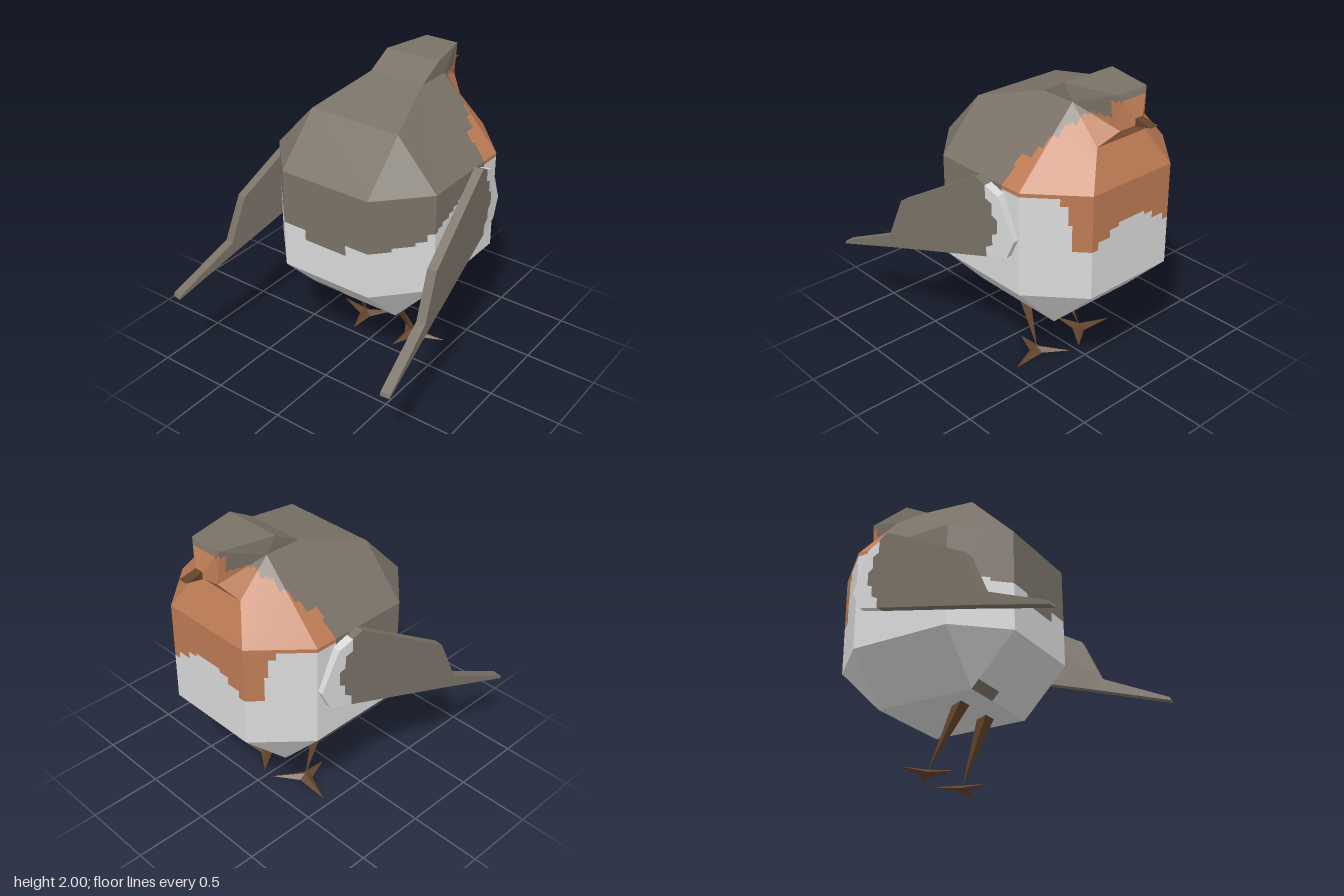
import * as THREE from 'three';

const material = (name, color) => {
  const m = new THREE.MeshStandardMaterial({ color });
  m.name = name;
  return m;
};
const brown = material('brownPlumage', 0x7a7267);
const white = material('paleBelly', 0xdadada);
const orange = material('orangeBreast', 0xbd7b54);
const horn = material('brownLegsAndBeak', 0x61432a);

const V = (x, y, z) => new THREE.Vector3(x, y, z);
const flip = (p) => V(-p.x, p.y, p.z);

// Collects flat faces, turned away from a centre point, in one bucket per material
class Facets {
  constructor(centre) {
    this.centre = centre;
    this.buckets = new Map();
  }
  // A triangle or quad; with a paint rule it is cut into small cells where colours meet
  face(points, paint) {
    const [a, b, c, d = c] = points;
    const mid = V(0, 0, 0);
    points.forEach((p) => mid.addScaledVector(p, 1 / points.length));
    const normal = c.clone().sub(a).cross(d.clone().sub(b));
    const q = normal.dot(mid.sub(this.centre)) > 0 ? [a, b, c, d] : [b, a, d, c];
    const at = (u, v) => q[0].clone().lerp(q[1], u).lerp(q[3].clone().lerp(q[2], u), v);
    const cells = (i, j, k, l) => Math.max(1, Math.ceil(Math.max(q[i].distanceTo(q[j]), q[k].distanceTo(q[l])) / 0.025));
    const nu = cells(0, 1, 2, 3), nv = cells(1, 2, 3, 0);
    const rows = [];
    for (let j = 0; j < nv; j++) {
      rows.push([]);
      for (let i = 0; i < nu; i++) rows[j].push(paint(at((i + 0.5) / nu, (j + 0.5) / nv)));
    }
    const first = rows[0][0];
    if (rows.every((r) => r.every((m) => m === first))) {
      this.emit(first, q);
      return;
    }
    rows.forEach((row, j) => {
      for (let i = 0, k; i < nu; i = k) {
        for (k = i; k < nu && row[k] === row[i];) k++;
        const v0 = j / nv, v1 = (j + 1) / nv;
        this.emit(row[i], [at(i / nu, v0), at(k / nu, v0), at(k / nu, v1), at(i / nu, v1)]);
      }
    });
  }
  pair(points, paint) {
    this.face(points, paint);
    this.face(points.map(flip), paint);
  }
  // A face across the middle, between an edge and its mirror image
  bridge(a, b, paint) {
    this.face([a, b, flip(b), flip(a)], paint);
  }
  emit(mat, [a, b, c, d]) {
    if (!this.buckets.has(mat)) this.buckets.set(mat, []);
    const list = this.buckets.get(mat);
    for (const t of [[a, b, c], [a, c, d]]) {
      if (new THREE.Triangle(...t).getArea() > 1e-9) t.forEach((p) => list.push(p.x, p.y, p.z));
    }
  }
  mesh(name) {
    const geo = new THREE.BufferGeometry();
    const all = [], mats = [];
    for (const [mat, list] of this.buckets) {
      geo.addGroup(all.length / 3, list.length / 3, mats.length);
      mats.push(mat);
      for (const n of list) all.push(n);
    }
    geo.setAttribute('position', new THREE.Float32BufferAttribute(all, 3));
    geo.computeVertexNormals();
    const mesh = new THREE.Mesh(geo, mats);
    mesh.name = name;
    return mesh;
  }
}

// Plumage pattern: brown back and cap, orange face and breast, pale belly
function plumage({ x, y, z }) {
  const w = Math.abs(x);
  if (y > 1.96 || (y > 1.86 && z > -0.78)) return brown;
  if (y > 1.455) {
    const edge = y < 1.61 ? -0.4 : -0.48 - Math.floor((y - 1.61) / 0.06) * 0.045;
    return z < edge ? orange : brown;
  }
  if (z < -0.4) {
    let low = 1.42;
    if (z < -0.71) low = 1.37;
    if (z < -0.75) low = 1.25;
    if (z < -0.77) low = 1.08;
    if (z < -0.855) {
      if (w < 0.27) low = 1.12;
      if (w < 0.19) low = 1.17;
      if (w < 0.1) low = 1.2;
    }
    return y > low ? orange : white;
  }
  if (y < 0.5) return z > 0.161 && x > -0.33 && x < -0.09 ? brown : white;
  let low = 1.01;
  if (w > 0.16) low = 1.08;
  if (w > 0.44) low = 1.11;
  if (w > 0.53) low = 1.14;
  if (w > 0.59) low = 1.18;
  if (z < 0.16) low = 1.18 + (0.16 - z) * 0.43;
  return y > low ? brown : white;
}

function makeBody() {
  const f = new Facets(V(0, 1.6, -0.2));
  const ring = (y) => [V(0.33, y, 0.47), V(0.62, y, 0.16), V(0.62, y, -0.54), V(0.33, y, -0.86)];
  const lo = ring(0.76), hi = ring(1.45);
  const baseBack = V(0.33, 0.44, 0.16), baseFront = V(0.33, 0.44, -0.54);
  const back = V(0.33, 1.77, 0.16), nape = V(0.2, 1.9, -0.29), crown = V(0.2, 2, -0.47);
  const cheek = V(0.2, 1.9, -0.54), throat = V(0.2, 1.68, -0.75), brow = V(0.12, 2, -0.82);
  const chin = V(0.1, 1.78, -0.83), beakTop = V(0.03, 1.85, -0.88), beakLow = V(0.03, 1.81, -0.88);

  // Faces across the middle, from belly round the back to the throat
  const loop = [baseFront, baseBack, lo[0], hi[0], back, nape, crown, brow, beakTop, beakLow, chin, throat, hi[3], lo[3]];
  loop.forEach((p, i) => f.bridge(p, loop[(i + 1) % loop.length], plumage));

  // Mirrored side faces
  for (let i = 0; i < 3; i++) f.pair([lo[i], lo[i + 1], hi[i + 1], hi[i]], plumage);
  [
    [baseBack, lo[0], lo[1]], [baseBack, baseFront, lo[2], lo[1]], [baseFront, lo[2], lo[3]],
    [hi[0], hi[1], back], [hi[1], nape, back], [hi[1], hi[2], cheek, nape],
    [hi[2], hi[3], throat, cheek], [nape, cheek, crown], [cheek, brow, crown],
    [cheek, throat, chin], [cheek, chin, brow], [chin, beakLow, beakTop, brow],
  ].forEach((p) => f.pair(p, plumage));
  return f.mesh('body');
}

function makeBeak() {
  const f = new Facets(V(0, 1.83, -0.92));
  const top = V(0.03, 1.855, -0.875), low = V(0.03, 1.805, -0.875), tip = V(0.03, 1.83, -1);
  const paint = () => horn;
  f.bridge(top, tip, paint);
  f.bridge(low, tip, paint);
  f.pair([top, low, tip], paint);
  return f.mesh('beak');
}

// Wing plate: outline in (z, y), leaning outwards towards the tail
function makeWingPart(name, outline, mat, side) {
  const shape = new THREE.Shape(outline.map(([z, y]) => new THREE.Vector2(z * side, y)));
  const geo = new THREE.ExtrudeGeometry(shape, { depth: 1, bevelEnabled: false });
  const p = geo.attributes.position;
  for (let i = 0; i < p.count; i++) {
    const z = p.getX(i) * side;
    const outer = side > 0 ? p.getZ(i) : 1 - p.getZ(i);
    // The extrusion runs along -x once the outline lies in the side plane
    const t = 1 - p.getZ(i);
    const reach = side > 0 ? t : 1 - outer;
    const x = 0.6 + (z + 0.53) * 0.136 + (side > 0 ? reach : t) * (0.057 + (z + 0.53) * 0.005);
    p.setXYZ(i, side * x, p.getY(i), z + 0.008 * (1 - t) - 0.008);
  }
  geo.computeVertexNormals();
  const mesh = new THREE.Mesh(geo, mat);
  mesh.name = name;
  return mesh;
}

function makeWing(side) {
  const seam = [[-0.31, 1.445], [-0.31, 1.36], [-0.36, 1.34], [-0.36, 1.26], [-0.4, 1.24], [-0.4, 1.15],
    [-0.36, 1.13], [-0.36, 1.06], [-0.31, 1.03], [-0.31, 0.963]];
  const wing = new THREE.Group();
  wing.name = side > 0 ? 'leftWing' : 'rightWing';
  wing.add(makeWingPart('wingFeathers', [[-0.24, 1.48], ...seam, [0.48, 0.73], [1, 0.57], [0.99, 0.595],
    [0.54, 0.8], [0.41, 1.1]], brown, side));
  wing.add(makeWingPart('wingShoulder', [...seam, [-0.47, 1.01], [-0.53, 1.14], [-0.41, 1.4]], white, side));
  return wing;
}

function makeLeg(side) {
  const leg = new THREE.Group();
  leg.name = side > 0 ? 'leftLeg' : 'rightLeg';
  const paint = () => horn;
  const P = (x, y, z) => V(x * side, y, z);

  // Three-sided shank tapering to the ankle
  const shank = new Facets(P(0.16, 0.35, -0.07));
  const ankle = P(0.2, 0.02, -0.24);
  const top = [P(0.1, 0.44, 0), P(0.2, 0.44, 0), P(0.15, 0.44, -0.1)];
  top.forEach((p, i) => shank.face([p, top[(i + 1) % 3], ankle], paint));
  leg.add(shank.mesh('shank'));

  // Three-toed foot
  const foot = new Facets(P(0.2, 0.008, -0.24));
  const star = [[0.24, -0.06], [0.0, -0.05], [-0.16, -0.16], [-0.045, 0.02], [-0.03, 0.2], [0.04, 0.03]]
    .map(([x, z]) => P(0.2 + x, 0, -0.24 + z));
  star.forEach((p, i) => {
    const next = star[(i + 1) % 6];
    foot.face([p, next, P(0.2, 0.03, -0.24)], paint);
    foot.face([p, next, P(0.2, 0, -0.24)], paint);
  });
  leg.add(foot.mesh('foot'));
  return leg;
}

export function createModel() {
  const bird = new THREE.Group();
  bird.name = 'bird';
  bird.add(makeBody(), makeBeak());
  for (const side of [1, -1]) bird.add(makeWing(side), makeLeg(side));
  return bird;
}
